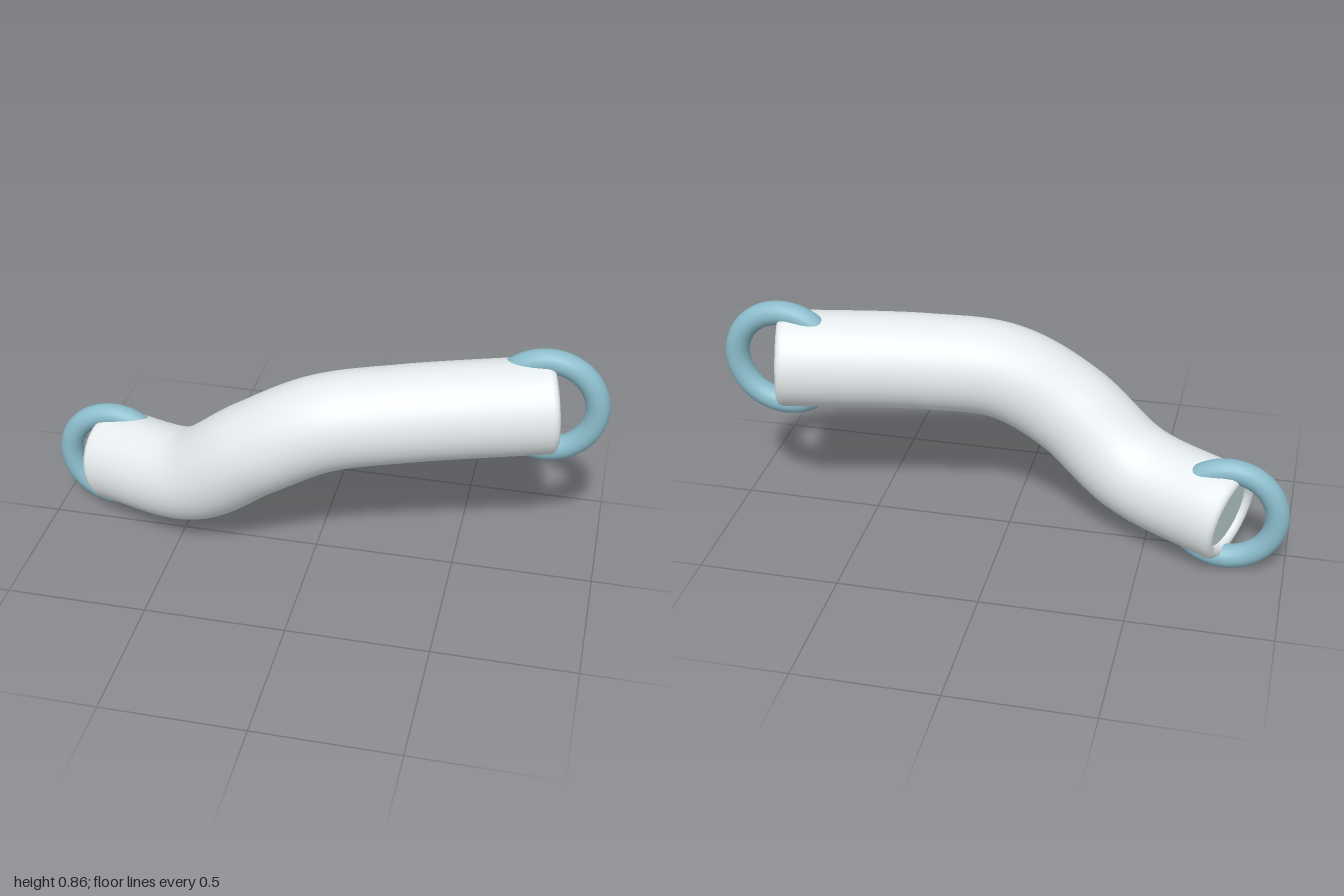
import * as THREE from 'three';

const shell = new THREE.MeshStandardMaterial({ color: 0xe6ecee, side: THREE.DoubleSide });
const blue = new THREE.MeshStandardMaterial({ color: 0x8bbccb });
const pale = new THREE.MeshStandardMaterial({ color: 0xc6dbde });

export function createModel() {
  const group = new THREE.Group();
  const add = (name, geometry, material, parent = group) => {
    const mesh = new THREE.Mesh(geometry, material);
    mesh.name = name;
    parent.add(mesh);
    return mesh;
  };

  // Curved body
  const path = new THREE.CatmullRomCurve3([
    [-0.79, 0.22, -0.105], [-0.45, 0.275, 0.03], [-0.2, 0.46, 0.09],
    [0.03, 0.585, 0.08], [0.3, 0.625, 0.02], [0.78, 0.65, -0.105],
  ].map((p) => new THREE.Vector3(...p)));
  add('body', new THREE.TubeGeometry(path, 96, 0.169, 48), shell);

  // Each end: rounded rim, pale cap and a hanging ring
  for (const [side, t, dir] of [['right', 0, -1], ['left', 1, 1]]) {
    const centre = path.getPoint(t);
    const end = new THREE.Group();
    end.name = side + 'End';
    end.position.copy(centre);
    const outward = path.getTangent(t).multiplyScalar(dir);
    end.quaternion.setFromUnitVectors(new THREE.Vector3(0, 0, 1), outward);
    group.add(end);

    add(side + 'Rim', new THREE.TorusGeometry(0.146, 0.024, 10, 24), shell, end);
    const cap = add(side + 'Cap', new THREE.CylinderGeometry(0.127, 0.127, 0.03, 32), pale, end);
    cap.rotation.x = Math.PI / 2;
    cap.position.z = -0.015;

    const ring = add(side + 'Ring', new THREE.TorusGeometry(0.173, 0.042, 20, 64), blue);
    ring.position.copy(centre);
  }
  return group;
}
